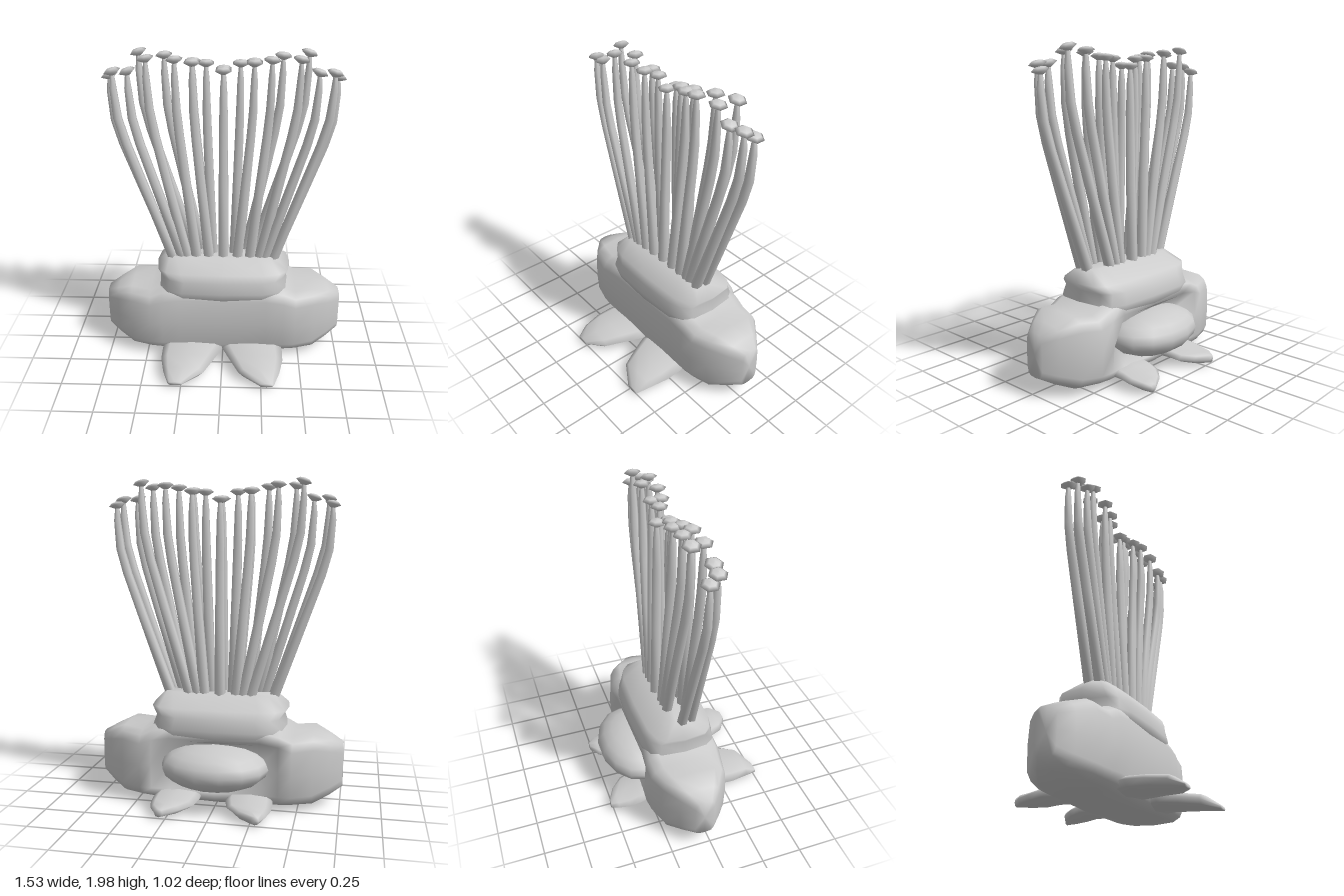
import * as THREE from 'three';

const grey = new THREE.MeshStandardMaterial({ color: 0xcccccc });

// Closed superellipse ring lying across an axis (0 = x, 1 = y, 2 = z), n corners.
function ring(axis, t, cu, cv, ru, rv, n, p) {
  const pts = [];
  for (let i = 0; i < n; i++) {
    const a = (i / n) * Math.PI * 2;
    const c = Math.cos(a), s = Math.sin(a), q = [0, 0, 0];
    q[axis] = t;
    q[(axis + 1) % 3] = cu + ru * Math.sign(c) * Math.abs(c) ** p;
    q[(axis + 2) % 3] = cv + rv * Math.sign(s) * Math.abs(s) ** p;
    pts.push(q);
  }
  return pts;
}

// Skin a list of rings and close both ends.
function loft(rings) {
  const n = rings[0].length, last = rings.length - 1;
  const pos = rings.flat(2), index = [];
  for (let j = 0; j < last; j++) {
    for (let i = 0; i < n; i++) {
      const a = j * n + i, b = j * n + (i + 1) % n;
      index.push(a, b, a + n, b, b + n, a + n);
    }
  }
  for (const j of [0, last]) {
    const centre = pos.length / 3;
    for (let k = 0; k < 3; k++) pos.push(rings[j].reduce((sum, q) => sum + q[k], 0) / n);
    for (let i = 0; i < n; i++) {
      const a = j * n + i, b = j * n + (i + 1) % n;
      if (j) index.push(a, b, centre);
      else index.push(b, a, centre);
    }
  }
  const g = new THREE.BufferGeometry();
  g.setAttribute('position', new THREE.Float32BufferAttribute(pos, 3));
  g.setIndex(index);
  g.computeVertexNormals();
  return g;
}

function add(parent, name, geometry) {
  const m = new THREE.Mesh(geometry, grey);
  m.name = name;
  parent.add(m);
  return m;
}

// Wide body lofted along x, with a hollow in the back.
function bodyGeometry() {
  // x, bottom, top, back z, front z, depth of hollow
  const half = [
    [0, 0.01, 0.53, -0.3, 0.2, 0.17],
    [0.28, 0.02, 0.53, -0.3, 0.2, 0.13],
    [0.39, 0.025, 0.51, -0.31, 0.2, 0],
    [0.47, 0.03, 0.47, -0.3, 0.19, 0],
    [0.59, 0.04, 0.485, -0.265, 0.16, 0],
    [0.69, 0.085, 0.44, -0.18, 0.085, 0],
    [0.765, 0.13, 0.4, -0.11, 0.02, 0],
  ];
  const all = [...half.slice(1).reverse().map(([x, ...r]) => [-x, ...r]), ...half];
  return loft(all.map(([x, y0, y1, z0, z1, dent]) => {
    const r = ring(0, x, (y0 + y1) / 2, (z0 + z1) / 2, (y1 - y0) / 2, (z1 - z0) / 2, 16, 0.48);
    r[12][2] += dent;
    return r;
  }));
}

// Raised block that carries the stalks.
function crownGeometry() {
  // y, half width, back z, front z
  const rows = [
    [0.42, 0.41, -0.285, 0.185],
    [0.49, 0.42, -0.295, 0.198],
    [0.56, 0.395, -0.28, 0.185],
    [0.61, 0.43, -0.25, 0.165],
    [0.685, 0.355, -0.12, 0.07],
  ];
  return loft(rows.map(([y, w, z0, z1]) =>
    ring(1, y, (z0 + z1) / 2, 0, (z1 - z0) / 2, w, 16, 0.5)));
}

// Flat pointed foot; rows of z, inner x, outer x, bottom, top.
function footGeometry(rows, side) {
  return loft(rows.map(([z, x0, x1, y0, y1]) =>
    ring(2, z, side * (x0 + x1) / 2, (y0 + y1) / 2, (x1 - x0) / 2, (y1 - y0) / 2, 8, 0.8)));
}
const frontFoot = [
  [0.05, 0.03, 0.37, 0.03, 0.13],
  [0.2, 0.0, 0.39, 0.045, 0.12],
  [0.31, 0.05, 0.39, 0.04, 0.115],
  [0.43, 0.11, 0.365, 0.03, 0.105],
  [0.51, 0.24, 0.33, 0.025, 0.05],
];
const backFoot = [
  [-0.515, 0.26, 0.31, 0.025, 0.075],
  [-0.47, 0.17, 0.345, 0.03, 0.09],
  [-0.4, 0.1, 0.365, 0.04, 0.095],
  [-0.33, 0.08, 0.365, 0.05, 0.11],
  [-0.2, 0.08, 0.35, 0.04, 0.13],
];

// Bent tapering stalk: fraction of height, fraction of sideways lean, radius.
const stalkShape = [
  [0, 0, 0.036], [0.42, 0.54, 0.032], [0.64, 0.82, 0.03],
  [0.77, 0.95, 0.028], [0.92, 1, 0.022], [1, 1, 0.011],
];
function stalkGeometry(bx, bz, x, y, z) {
  return loft(stalkShape.map(([h, lean, r]) =>
    ring(1, 0.66 + (y - 0.66) * h, bz + (z - bz) * lean, bx + (x - bx) * lean, r, r, 6, 1)));
}

// Six-sided button on top of a stalk.
const capGeometry = new THREE.LatheGeometry(
  [[0, -0.025], [0.015, -0.022], [0.053, 0], [0.032, 0.016], [0, 0.021]]
    .map(([r, y]) => new THREE.Vector2(r, y)), 6);

// base x, base z, top x, top y, top z, tilt
const stalks = [
  [0, -0.1, 0, 1.87, -0.08, 0], [0, 0.02, 0, 1.875, -0.01, 0],
  [0.07, -0.03, 0.1, 1.915, -0.03, 0],
  [0.1, -0.09, 0.18, 1.92, -0.05, 0], [0.09, 0.02, 0.18, 1.925, 0.005, 0],
  [0.17, 0.02, 0.28, 1.945, 0.02, 0.08], [0.14, -0.09, 0.345, 1.955, -0.055, 0.08],
  [0.23, 0.02, 0.445, 1.95, 0.02, 0.2], [0.19, -0.09, 0.495, 1.97, -0.065, 0.3],
  [0.26, 0.02, 0.55, 1.88, 0.035, 0.32], [0.32, 0.02, 0.64, 1.875, 0.02, 0.25],
  [0.33, -0.04, 0.665, 1.84, -0.03, 0.25],
];

export function createModel() {
  const model = new THREE.Group();
  model.name = 'stalkedCreature';

  add(model, 'body', bodyGeometry());
  add(model, 'crown', crownGeometry());

  // Rounded lump sitting in the hollow of the back
  const lump = add(model, 'backLump', new THREE.SphereGeometry(1, 14, 10));
  lump.scale.set(0.33, 0.14, 0.23);
  lump.position.set(0, 0.27, -0.27);

  for (const side of [1, -1]) {
    const label = side > 0 ? 'left' : 'right';
    add(model, label + 'FrontFoot', footGeometry(frontFoot, side));
    add(model, label + 'BackFoot', footGeometry(backFoot, side));

    for (const [bx, bz, x, y, z, tilt] of stalks) {
      if (x === 0 && side < 0) continue;
      const stalk = new THREE.Group();
      stalk.name = x === 0 ? 'middleStalk' : label + 'Stalk';
      add(stalk, 'stem', stalkGeometry(side * bx, bz, side * x, y, z));
      const cap = add(stalk, 'cap', capGeometry);
      cap.position.set(side * x, y, z);
      cap.rotation.z = -side * tilt;
      model.add(stalk);
    }
  }
  return model;
}
